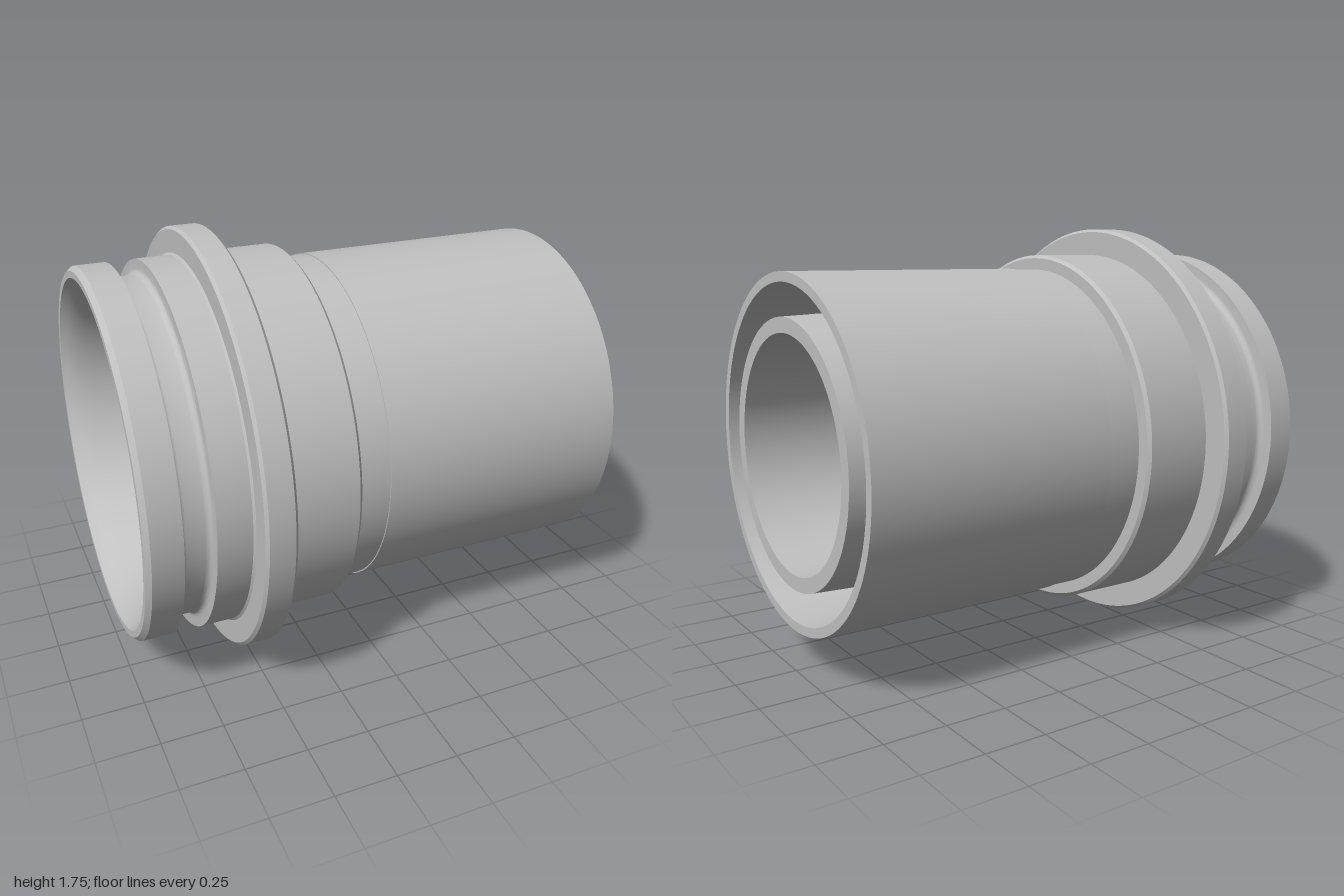
import * as THREE from 'three';
import { toCreasedNormals } from 'three/addons/utils/BufferGeometryUtils.js';

const AXIS_HEIGHT = 0.875;

export function createModel() {
  const metal = new THREE.MeshStandardMaterial({ color: 0xc0c0c0 });
  metal.name = 'grey metal';
  const model = new THREE.Group();
  model.name = 'pipeFitting';

  // Revolve a profile of [x, radius] points around the horizontal axis
  const turn = (name, profile) => {
    const points = profile.map(([x, r]) => new THREE.Vector2(r, x));
    const geometry = toCreasedNormals(new THREE.LatheGeometry(points, 128), 0.45);
    geometry.rotateZ(-Math.PI / 2);
    geometry.translate(0, AXIS_HEIGHT, 0);
    const mesh = new THREE.Mesh(geometry, metal);
    mesh.name = name;
    model.add(mesh);
  };

  // Quarter-round corner points between two angles
  const arc = (cx, cr, radius, from, to, steps = 6) =>
    Array.from({ length: steps + 1 }, (_, i) => {
      const a = from + ((to - from) * i) / steps;
      return [cx + radius * Math.cos(a), cr + radius * Math.sin(a)];
    });
  const P = Math.PI;

  // Rounded mouth ring with the seal groove behind it
  turn('mouthRing', [
    [-1, 0.715], [-1, 0.742], [-0.98, 0.761], [-0.86, 0.761],
    ...arc(-0.835, 0.723, 0.025, P, 1.5 * P),
    ...arc(-0.765, 0.723, 0.025, 1.5 * P, 2 * P),
    [-0.74, 0.761], [-0.605, 0.761],
  ]);

  // Raised flange
  turn('flange', [
    [-0.605, 0.761], [-0.597, 0.77], [-0.597, 0.863], [-0.585, 0.875],
    [-0.485, 0.875], [-0.473, 0.863], [-0.473, 0.761],
  ]);

  // Shoulder and relieved neck
  turn('shoulder', [
    [-0.473, 0.761], [-0.183, 0.761], [-0.17, 0.748], [-0.17, 0.699],
    [-0.027, 0.699], [-0.027, 0.704],
  ]);

  // Long outer sleeve and its thin end rim
  turn('outerSleeve', [[-0.027, 0.704], [1, 0.704], [1, 0.665]]);

  // Tapered annular slot between the sleeve and the inner tube
  turn('endSlot', [[1, 0.665], [0.2, 0.614], [0.2, 0.567], [1, 0.534]]);

  // Inner tube rim and the through bore
  turn('innerTube', [[1, 0.534], [1, 0.473], [-0.1, 0.473]]);

  // Smooth funnel opening towards the mouth
  const funnel = new THREE.SplineCurve(
    [[-0.1, 0.473], [-0.3, 0.485], [-0.55, 0.535], [-0.78, 0.61], [-0.93, 0.665], [-1, 0.715]]
      .map(([x, r]) => new THREE.Vector2(x, r)));
  turn('funnel', funnel.getPoints(30).map((p) => [p.x, p.y]));

  return model;
}
